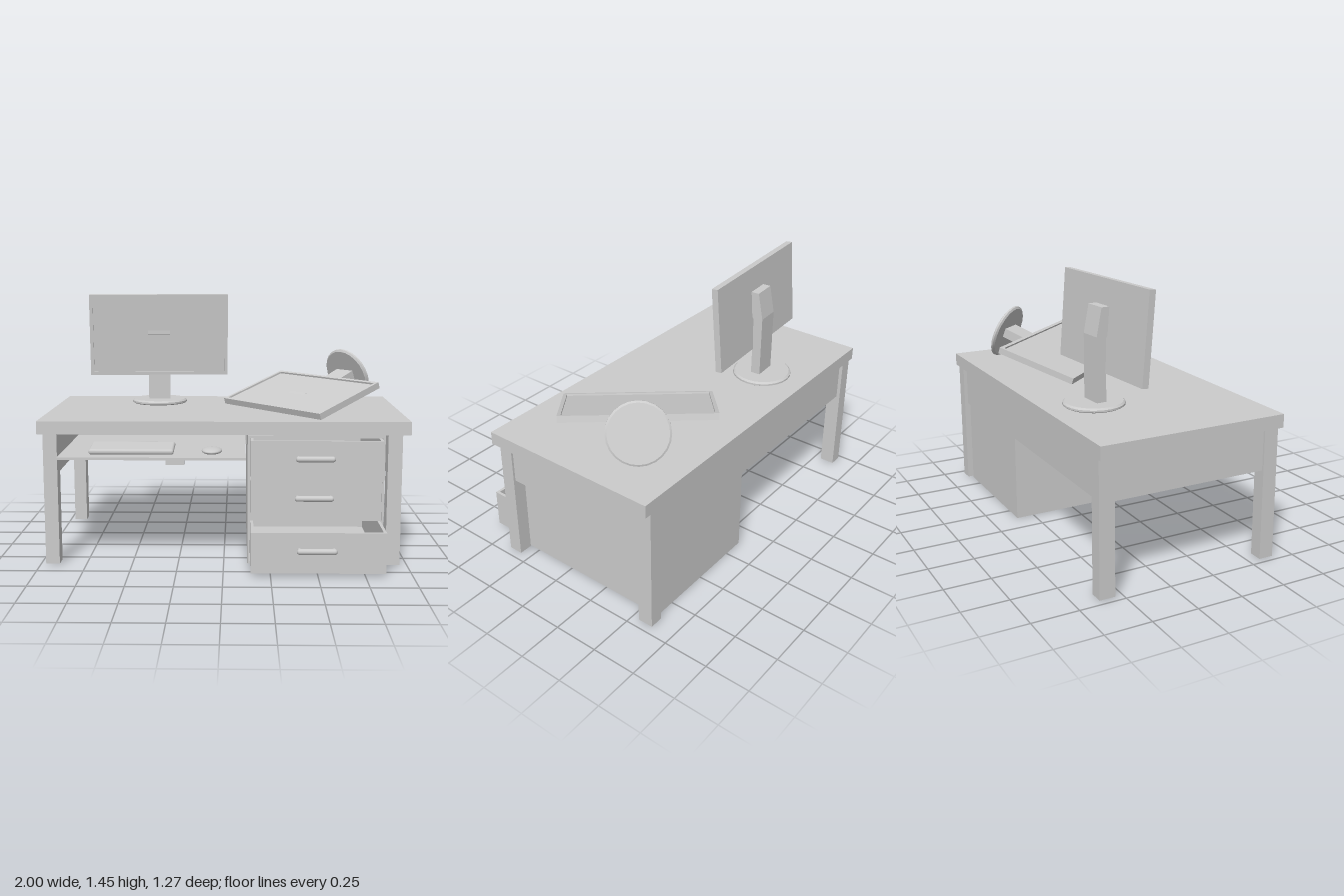
import * as THREE from 'three';
import { RoundedBoxGeometry } from 'three/addons/geometries/RoundedBoxGeometry.js';
import { toCreasedNormals } from 'three/addons/utils/BufferGeometryUtils.js';

const grey = new THREE.MeshStandardMaterial({ color: 0xcccccc });

function add(parent, name, geometry, x = 0, y = 0, z = 0) {
  const mesh = new THREE.Mesh(geometry, grey);
  mesh.name = name;
  mesh.position.set(x, y, z);
  parent.add(mesh);
  return mesh;
}

// Box given by its extents on each axis
function box(parent, name, [x0, x1], [y0, y1], [z0, z1]) {
  return add(parent, name, new THREE.BoxGeometry(x1 - x0, y1 - y0, z1 - z0),
    (x0 + x1) / 2, (y0 + y1) / 2, (z0 + z1) / 2);
}

function group(parent, name) {
  const g = new THREE.Group();
  g.name = name;
  parent.add(g);
  return g;
}

// Bar handle on two posts, standing out from a drawer front
function handle(parent, x, y, z) {
  const g = group(parent, 'drawerHandle');
  g.position.set(x, y, z);
  add(g, 'handleBar', new THREE.CapsuleGeometry(0.016, 0.18, 5, 12), 0, 0, 0.032).rotation.z = Math.PI / 2;
  for (const s of [-1, 1]) {
    add(g, 'handlePost', new THREE.CylinderGeometry(0.011, 0.011, 0.04, 12), s * 0.09, 0, 0.018).rotation.x = Math.PI / 2;
  }
}

// Open-topped drawer whose front face lies at z
function drawer(parent, y0, y1, z) {
  const g = group(parent, 'drawer');
  const back = z - 0.88, x0 = 0.145, x1 = 0.855, t = 0.016;
  box(g, 'drawerFront', [x0, x1], [y0, y1], [z - t, z]);
  box(g, 'drawerBack', [x0, x1], [y0, y1], [back, back + t]);
  box(g, 'drawerSide', [x0, x0 + t], [y0, y1], [back + t, z - t]);
  box(g, 'drawerSide', [x1 - t, x1], [y0, y1], [back + t, z - t]);
  box(g, 'drawerFloor', [x0 + t, x1 - t], [y0, y0 + t], [back + t, z - t]);
  handle(g, 0.49, (y0 + y1) / 2 + 0.018, z);
}

// Monitor with its stand; the origin is the middle of the underside of the base
function monitor(parent, name) {
  const g = group(parent, name);
  const profile = [[0, 0], [0.155, 0], [0.165, 0.006], [0.165, 0.016], [0.155, 0.025], [0, 0.025]];
  add(g, 'standBase', toCreasedNormals(new THREE.LatheGeometry(
    profile.map(p => new THREE.Vector2(...p)), 24), 0.5));

  // Column, drawn as a side profile and extruded across its width
  const side = [[0.02, 0.02], [0.02, 0.37], [-0.01, 0.52], [-0.075, 0.52], [-0.075, 0.42], [-0.035, 0.36], [-0.035, 0.02]];
  const column = new THREE.ExtrudeGeometry(new THREE.Shape(side.map(p => new THREE.Vector2(...p))),
    { depth: 0.13, bevelEnabled: false });
  column.translate(0, 0, -0.065).rotateY(Math.PI / 2);
  add(g, 'standColumn', column);

  // Panel, leaning slightly forward, with a raised bezel
  const panel = group(g, 'panel');
  panel.position.set(0, 0.415, 0.065);
  panel.rotation.x = 0.08;
  const w = 0.41, h = 0.24, b = 0.02;
  box(panel, 'screen', [-w + b, w - b], [-h + b, h - b], [-0.016, 0.008]);
  for (const s of [-1, 1]) {
    add(panel, 'bezelSide', new THREE.BoxGeometry(b, 2 * h, 0.036), s * (w - b / 2), 0, 0);
    add(panel, 'bezelEdge', new THREE.BoxGeometry(2 * (w - b), b, 0.036), 0, s * (h - b / 2), 0);
  }
  box(panel, 'rearCover', [-w + b, w - b], [-h + b, h - b], [-0.018, -0.016]);
  return g;
}

export function createModel() {
  const root = new THREE.Group();
  root.name = 'officeDesk';

  // Desk frame
  const desk = group(root, 'desk');
  box(desk, 'deskTop', [-1, 1], [0.728, 0.8], [-0.635, 0.4]);
  for (const [x0, x1] of [[-0.97, -0.895], [0.88, 0.957]]) {
    for (const z of [[0.31, 0.39], [-0.63, -0.545]]) box(desk, 'leg', [x0, x1], [0.01, 0.728], z);
    box(desk, 'sideApron', [x0 + 0.012, x1 - 0.012], [0.5, 0.728], [-0.545, 0.31]);
  }
  box(desk, 'backApron', [-0.895, 0.88], [0.5, 0.728], [-0.61, -0.585]);

  // Drawer cabinet, open to the front
  const cabinet = group(root, 'drawerCabinet');
  const depth = [-0.6, 0.36];
  box(cabinet, 'cabinetSide', [0.13, 0.143], [0.005, 0.72], depth);
  box(cabinet, 'cabinetSide', [0.857, 0.87], [0.005, 0.72], depth);
  box(cabinet, 'cabinetBottom', [0.143, 0.857], [0.005, 0.022], depth);
  box(cabinet, 'cabinetTop', [0.143, 0.857], [0.705, 0.72], depth);
  box(cabinet, 'cabinetBack', [0.143, 0.857], [0.022, 0.705], [-0.6, -0.585]);
  for (const y of [0.247, 0.472]) box(cabinet, 'shelf', [0.143, 0.857], [y, y + 0.006], [-0.585, 0.355]);
  drawer(cabinet, 0.026, 0.245, 0.59);
  drawer(cabinet, 0.255, 0.47, 0.365);
  drawer(cabinet, 0.48, 0.7, 0.42);

  // Pull-out tray with keyboard and mouse
  const tray = group(root, 'keyboardTray');
  box(tray, 'trayBoard', [-0.892, 0.12], [0.594, 0.608], [-0.45, 0.42]);
  box(tray, 'trayGrip', [-0.31, -0.21], [0.565, 0.594], [0.36, 0.4]);
  add(tray, 'keyboard', new RoundedBoxGeometry(0.46, 0.03, 0.17, 3, 0.013), -0.5, 0.634, 0.28).rotation.x = 0.1;
  const mouse = add(tray, 'mouse', new THREE.SphereGeometry(1, 20, 12), -0.065, 0.624, 0.29);
  mouse.scale.set(0.056, 0.018, 0.08);

  // Upright monitor
  const upright = monitor(root, 'uprightMonitor');
  upright.position.set(-0.4, 0.8, -0.365);
  upright.rotation.y = 0.065;

  // Fallen monitor, resting on the rim of its base and facing up
  const fallen = monitor(root, 'fallenMonitor');
  const across = new THREE.Vector3(-0.64, 0, -0.77).normalize();
  const up = new THREE.Vector3(-0.718, -0.362, 0.596).normalize();
  const facing = new THREE.Vector3().crossVectors(across, up).normalize();
  fallen.quaternion.setFromRotationMatrix(new THREE.Matrix4().makeBasis(across, up, facing));
  fallen.position.set(0.751, 0.975, -0.392);

  return root;
}
